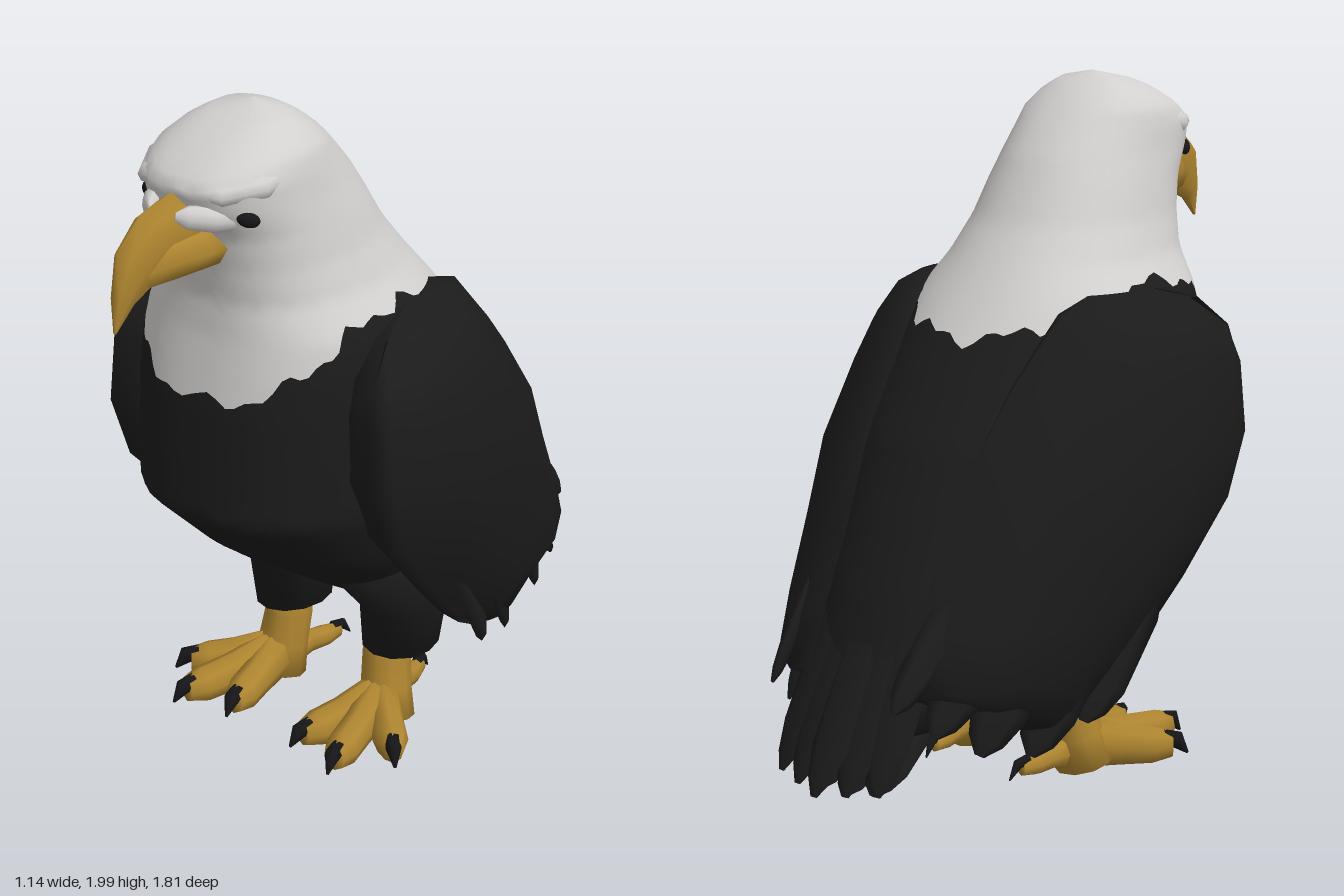
import * as THREE from 'three';

const V = (x, y, z) => new THREE.Vector3(x, y, z);
const lerp = THREE.MathUtils.lerp;

// Skin a list of closed rings; capped ends are fanned to their centres, winding is set outward.
function loft(rings, caps = true) {
  const n = rings[0].length, pts = rings.flat(), idx = [];
  for (let r = 0; r < rings.length - 1; r++) {
    for (let i = 0; i < n; i++) {
      const a = r * n + i, b = r * n + (i + 1) % n;
      idx.push(a, b, a + n, b, b + n, a + n);
    }
  }
  if (caps) {
    [0, rings.length - 1].forEach((r, end) => {
      const mid = rings[r].reduce((s, p) => s.add(p), V(0, 0, 0)).divideScalar(n);
      const c = pts.push(mid) - 1;
      for (let i = 0; i < n; i++) {
        const a = r * n + i, b = r * n + (i + 1) % n;
        if (end) idx.push(a, b, c); else idx.push(b, a, c);
      }
    });
  }
  const centre = pts.reduce((s, p) => s.add(p), V(0, 0, 0)).divideScalar(pts.length);
  let volume = 0;
  for (let i = 0; i < idx.length; i += 3) {
    const [a, b, c] = [0, 1, 2].map(k => pts[idx[i + k]].clone().sub(centre));
    volume += a.dot(b.cross(c));
  }
  if (volume < 0) idx.reverse();
  const g = new THREE.BufferGeometry().setFromPoints(pts);
  g.setIndex(idx);
  g.computeVertexNormals();
  return g;
}

// Elliptical sweep along stations [x, y, z, halfWidth, halfHeight].
function sweep(path, up, n = 10) {
  const p = path.map(s => V(s[0], s[1], s[2]));
  return loft(path.map((s, k) => {
    const t = p[Math.min(k + 1, p.length - 1)].clone().sub(p[Math.max(k - 1, 0)]).normalize();
    const side = up.clone().cross(t).normalize(), rise = t.clone().cross(side);
    return Array.from({ length: n }, (_, i) => {
      const a = i / n * Math.PI * 2;
      return p[k].clone().addScaledVector(side, s[3] * Math.cos(a))
        .addScaledVector(rise, (s[4] ?? s[3]) * Math.sin(a));
    });
  }));
}

// Flat pointed feather from base to tip.
function feather(base, tip, width, normal) {
  const shape = [[0, 0.5, 0.015], [0.4, 1, 0.024], [0.8, 0.85, 0.02], [0.93, 0.55, 0.014], [1, 0.15, 0.005]];
  return sweep(shape.map(([t, w, h]) => [...base.map((b, i) => lerp(b, tip[i], t)), w * width, h]), normal, 6);
}

// Body sections: y, front z, back z, half width.
const BODY = [
  [2.0, 0.36, 0.36, 0], [1.985, 0.44, 0.3, 0.09], [1.95, 0.53, 0.24, 0.155], [1.9, 0.62, 0.18, 0.205],
  [1.85, 0.685, 0.13, 0.218], [1.78, 0.665, 0.07, 0.228], [1.7, 0.61, 0.02, 0.245], [1.6, 0.585, -0.04, 0.266],
  [1.5, 0.57, -0.12, 0.302], [1.4, 0.58, -0.2, 0.37], [1.3, 0.6, -0.28, 0.4], [1.2, 0.62, -0.36, 0.41],
  [1.05, 0.635, -0.47, 0.42], [0.87, 0.65, -0.56, 0.42], [0.67, 0.45, -0.65, 0.4], [0.5, 0.21, -0.71, 0.37],
  [0.4, 0.06, -0.75, 0.32], [0.33, -0.15, -0.76, 0.24], [0.27, -0.4, -0.76, 0.14], [0.25, -0.6, -0.6, 0]];

function bodyPoint(angle, y) {
  let k = 0;
  while (k < BODY.length - 2 && BODY[k + 1][0] > y) k++;
  const t = (BODY[k][0] - y) / (BODY[k][0] - BODY[k + 1][0]);
  const [, f, b, w] = BODY[k].map((v, i) => lerp(v, BODY[k + 1][i], t));
  const c = Math.cos(angle), power = c > 0 ? 0.83 : 0.93;
  const round = v => Math.sign(v) * Math.abs(v) ** power;
  return V(w * round(Math.sin(angle)), y, (f + b) / 2 + (f - b) / 2 * round(c));
}

// Ragged edge where the pale neck meets the dark body.
function neckline(a) {
  const c = Math.cos(a);
  return 1.445 - (c > 0 ? 0.225 : 0.13) * c * c + 0.014 * Math.sin(11 * a + 1) + 0.012 * Math.sin(23 * a);
}

function bodySkin(endY, rows) {
  const cols = 96;
  return loft(Array.from({ length: rows + 1 }, (_, r) => Array.from({ length: cols }, (_, i) => {
    const a = i / cols * Math.PI * 2;
    return bodyPoint(a, lerp(neckline(a), endY, r / rows));
  })), false);
}

// Wing sections: y, front z, back z, shoulder x, outermost x, trailing x.
const WING = [
  [1.43, 0.17, -0.05, 0.35, 0.37, 0.31], [1.39, 0.31, -0.16, 0.37, 0.45, 0.28], [1.3, 0.41, -0.25, 0.38, 0.52, 0.26],
  [1.2, 0.44, -0.34, 0.38, 0.55, 0.24], [1.0, 0.45, -0.5, 0.39, 0.57, 0.22], [0.8, 0.38, -0.6, 0.41, 0.55, 0.2],
  [0.6, 0.2, -0.7, 0.4, 0.5, 0.2], [0.45, 0.05, -0.77, 0.38, 0.455, 0.19], [0.36, -0.06, -0.58, 0.37, 0.42, 0.25],
  [0.28, -0.19, -0.42, 0.36, 0.39, 0.3]];

function wing(s) {
  return loft(WING.map(([y, f, b, xs, xo, xb]) => {
    const z = t => lerp(f, b, t);
    return [[xs - 0.05, z(0.06)], [(xs + xo) / 2, f], [xo - 0.05, z(0.05)], [xo - 0.012, z(0.17)], [xo, z(0.38)],
      [lerp(xo, xb, 0.15), z(0.68)], [lerp(xo, xb, 0.48), z(0.87)], [xb, b], [xb - 0.03, z(0.95)],
      [xs - 0.1, z(0.6)], [xs - 0.1, z(0.2)]].map(q => V(s * q[0], y, q[1]));
  }));
}

export function createModel() {
  const group = new THREE.Group();
  const material = (name, color) => {
    const m = new THREE.MeshStandardMaterial({ color });
    m.name = name;
    return m;
  };
  const white = material('white plumage', 0xd2d0ce);
  const dark = material('dark plumage', 0x1b1b1c);
  const yellow = material('yellow skin', 0xae8530);
  const black = material('black claw', 0x161618);
  const add = (name, geometry, mat) => {
    const m = new THREE.Mesh(geometry, mat);
    m.name = name;
    group.add(m);
    return m;
  };
  const UP = V(0, 1, 0), FWD = V(0, 0, 1);

  add('headAndNeck', bodySkin(2, 30), white);
  add('body', bodySkin(0.25, 36), dark);

  // Hooked beak: a narrow ridge above a wide mouth
  add('beakRidge', sweep([[0, 1.71, 0.6, 0.06, 0.1], [0, 1.73, 0.68, 0.058, 0.1], [0, 1.715, 0.75, 0.05, 0.1],
    [0, 1.665, 0.82, 0.04, 0.09], [0, 1.59, 0.872, 0.022, 0.042], [0, 1.51, 0.904, 0.004, 0.004]], UP, 8), yellow);
  add('beakMouth', sweep([[0, 1.67, 0.54, 0.112, 0.07], [0, 1.67, 0.64, 0.1, 0.068], [0, 1.665, 0.73, 0.07, 0.07],
    [0, 1.65, 0.81, 0.036, 0.055]], UP, 8), yellow);

  // Tail fan over a shorter row of under-tail feathers
  for (let i = -2; i <= 2; i++) {
    const d = Math.abs(i);
    add('tailFeather', feather([0.06 * i, 0.78, -0.53 + 0.005 * d],
      [0.085 * i, 0.16 + 0.01 * d, -0.895 + 0.03 * d], 0.075, V(0.1 * i, 0.5, -0.85)), dark);
  }
  for (let i = -1.5; i <= 1.5; i++) {
    add('underTailFeather', feather([0.07 * i, 0.42, -0.48],
      [0.09 * i, 0.145 + 0.015 * Math.abs(i), -0.83 + 0.015 * Math.abs(i)], 0.075, V(0.1 * i, 0.8, -0.6)), dark);
  }

  for (const s of [1, -1]) {
    const side = s > 0 ? 'left' : 'right';
    const flip = path => path.map(([x, ...rest]) => [s * x, ...rest]);
    const part = (name, path, up, mat, n) => add(side + name, sweep(flip(path), up, n), mat);

    // Brow ridge merging into the crown, pale cheek beside the beak, and the eye between them
    part('Brow', [[0.05, 1.84, 0.645, 0.03, 0.02], [0.12, 1.835, 0.62, 0.04, 0.032],
      [0.178, 1.845, 0.53, 0.036, 0.036], [0.195, 1.86, 0.4, 0.012, 0.02]], UP, white, 10);
    part('Cheek', [[0.15, 1.755, 0.55, 0.02, 0.03], [0.105, 1.768, 0.635, 0.03, 0.035],
      [0.065, 1.78, 0.69, 0.022, 0.032], [0.045, 1.785, 0.715, 0.006, 0.012]], UP, white, 10);
    const eye = add(side + 'Eye', new THREE.SphereGeometry(0.032, 14, 10), black);
    eye.scale.set(1, 0.65, 0.5);
    eye.position.set(s * 0.176, 1.768, 0.582);
    eye.rotation.set(0, s * 0.85, -s * 0.3, 'YXZ');

    // Folded wing with flight feathers along the lower edge
    add(side + 'Wing', wing(s), dark);
    const feathers = [
      [[0.44, 0.75, 0.08], [0.39, 0.26, -0.2], 0.1], [[0.43, 0.75, -0.08], [0.34, 0.2, -0.38], 0.1],
      [[0.4, 0.8, -0.26], [0.31, 0.25, -0.57], 0.1], [[0.33, 0.8, -0.36], [0.26, 0.33, -0.7], 0.09],
      [[0.27, 0.8, -0.46], [0.215, 0.42, -0.815], 0.06]];
    for (const [base, tip, width] of feathers) {
      add(side + 'WingFeather', feather(...flip([base, tip]), width, V(s * 0.85, 0.25, -0.45)), dark);
    }

    // Feathered thigh and bare shank
    part('Thigh', [[0.2, 0.62, 0.08, 0.16, 0.17], [0.215, 0.42, -0.03, 0.135, 0.135],
      [0.205, 0.25, -0.03, 0.108, 0.128]], FWD, dark, 12);
    part('Shank', [[0.19, 0.32, 0.01, 0.055, 0.065], [0.19, 0.22, 0.015, 0.068, 0.078],
      [0.2, 0.12, 0.03, 0.075], [0.21, 0.03, 0.05, 0.09]], FWD, yellow, 10);

    // Toes, each ending in a curved claw
    for (const [x, z, size] of [[0.14, 0.31, 1], [0.28, 0.35, 1], [0.375, 0.22, 1], [0.165, -0.16, 0.6]]) {
      const dir = V(x - 0.2, 0, z - 0.05).normalize();
      const at = (d, y, w, h) => [x + dir.x * d, y, z + dir.z * d, w * size, h * size];
      part('Toe', [[0.2, 0.085, 0.05, 0.06, 0.08], [lerp(0.2, x, 0.55), 0.07, lerp(0.05, z, 0.55), 0.05 * size, 0.062 * size],
        at(-0.03, 0.065, 0.052, 0.056), at(0.025, 0.065, 0.032, 0.04)], UP, yellow, 8);
      part('Claw', [at(0, 0.083, 0.028, 0.03), at(0.04, 0.08, 0.022, 0.027), at(0.072, 0.038, 0.004, 0.004)],
        UP, black, 7);
    }
  }
  return group;
}
